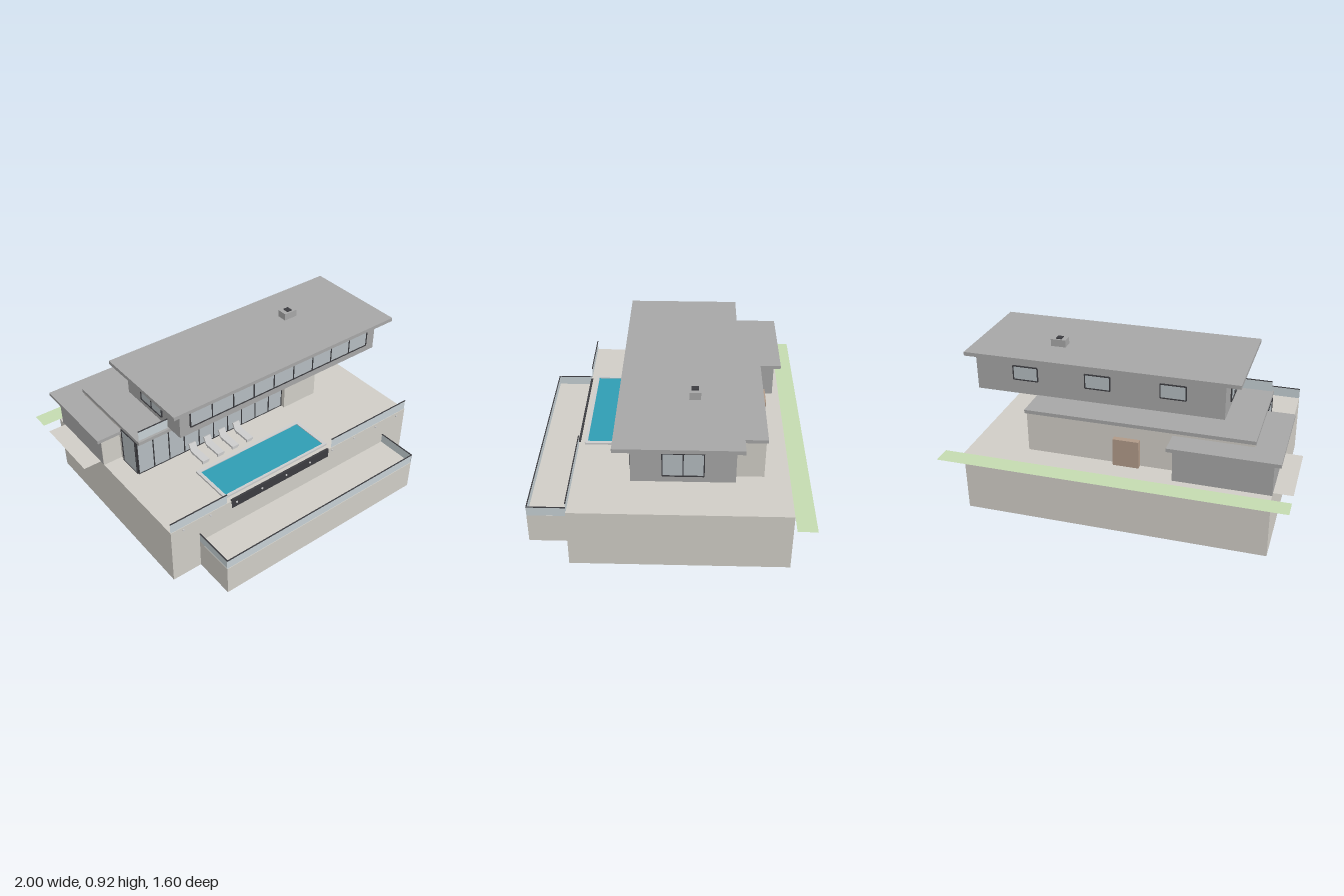
import * as THREE from 'three';

const mat = (color, double) => new THREE.MeshStandardMaterial({ color, side: double ? THREE.DoubleSide : THREE.FrontSide });
const stone = mat(0xd0cdc6), shell = mat(0xd0cdc6, true), grey = mat(0xa6a6a6), plain = mat(0xcccccc);
const dark = mat(0x3c3c40), glass = mat(0xc6d0d4, true), pane = mat(0xb4bcc0), water = mat(0x2f9db3);
const grass = mat(0xc4dab0, true), wood = mat(0xb09a88);

export function createModel() {
  const root = new THREE.Group();

  // box given by its limits on each axis
  const box = (name, x0, x1, y0, y1, z0, z1, m, parent = root) => {
    const mesh = new THREE.Mesh(new THREE.BoxGeometry(x1 - x0, y1 - y0, z1 - z0), m);
    mesh.position.set((x0 + x1) / 2, (y0 + y1) / 2, (z0 + z1) / 2);
    mesh.name = name;
    parent.add(mesh);
    return mesh;
  };

  // hollow box without its underside
  const openBox = (...args) => {
    const mesh = box(...args);
    const g = mesh.geometry, idx = Array.from(g.index.array);
    idx.splice(18, 6);
    g.setIndex(idx);
    g.clearGroups();
    return mesh;
  };

  // flat horizontal sheet
  const sheet = (name, x0, x1, z0, z1, y, m) => {
    const mesh = new THREE.Mesh(new THREE.PlaneGeometry(x1 - x0, z1 - z0).rotateX(-Math.PI / 2), m);
    mesh.position.set((x0 + x1) / 2, y, (z0 + z1) / 2);
    mesh.name = name;
    root.add(mesh);
  };

  // framed window of n panes, centred at x, y, z and turned about y
  const windowBand = (name, x, y, z, w, h, n, turn = 0) => {
    const g = new THREE.Group(), t = 0.006;
    g.name = name;
    box('panes', -w / 2, w / 2, -h / 2, h / 2, -0.004, 0.003, pane, g);
    for (const s of [-1, 1]) box('frameRail', -w / 2, w / 2, s * h / 2 - t / 2, s * h / 2 + t / 2, -0.004, 0.007, dark, g);
    for (let i = 0; i <= n; i++) {
      const px = -w / 2 + (w * i) / n;
      box('mullion', px - t / 2, px + t / 2, -h / 2, h / 2, -0.004, 0.007, dark, g);
    }
    g.position.set(x, y, z);
    g.rotation.y = turn;
    root.add(g);
  };

  // glass railing between two ground points, with a thin top rail
  const railing = (name, xa, za, xb, zb, y, h) => {
    const g = new THREE.Group(), len = Math.hypot(xb - xa, zb - za);
    g.name = name;
    const sheetMesh = new THREE.Mesh(new THREE.PlaneGeometry(len, h), glass);
    sheetMesh.position.y = h / 2;
    sheetMesh.name = 'railingGlass';
    g.add(sheetMesh);
    box('topRail', -len / 2, len / 2, h - 0.004, h, -0.003, 0.003, dark, g);
    g.position.set((xa + xb) / 2, y, (za + zb) / 2);
    g.rotation.y = -Math.atan2(zb - za, xb - xa);
    root.add(g);
  };

  // podium, lower terrace, lawn and side landing
  openBox('podium', -0.89, 0.885, 0, 0.365, -0.69, 0.545, shell);
  openBox('lowerTerrace', -0.705, 0.705, 0, 0.187, 0.545, 0.8, shell);
  sheet('lawnStrip', -1, 1, -0.8, -0.69, 0.365, grass);
  sheet('sideLanding', -1, -0.89, -0.62, -0.187, 0.366, shell);

  // railings
  railing('leftDeckRailing', -0.89, 0.542, -0.513, 0.542, 0.365, 0.066);
  railing('rightDeckRailing', 0.262, 0.542, 0.883, 0.542, 0.365, 0.066);
  railing('terraceFrontRailing', -0.705, 0.797, 0.705, 0.797, 0.187, 0.063);
  for (const s of [-1, 1]) railing('terraceSideRailing', s * 0.704, 0.545, s * 0.704, 0.8, 0.187, 0.063);
  railing('balconyRailing', -0.765, 0.065, -0.572, 0.065, 0.625, 0.066);

  // swimming pool with rim and front wall
  box('poolWater', -0.485, 0.237, 0.366, 0.372, 0.255, 0.492, water);
  for (const [x0, x1] of [[-0.505, -0.485], [0.237, 0.258]]) box('poolRimSide', x0, x1, 0.365, 0.377, 0.235, 0.508, plain);
  for (const [z0, z1] of [[0.235, 0.255], [0.492, 0.508]]) box('poolRimEnd', -0.485, 0.237, 0.365, 0.377, z0, z1, plain);
  box('poolFrontWall', -0.483, 0.237, 0.313, 0.372, 0.535, 0.548, dark);

  // fixing studs along the podium edge
  for (let i = 0; i < 10; i++) {
    const stud = new THREE.Mesh(new THREE.CylinderGeometry(0.006, 0.006, 0.008, 10).rotateX(Math.PI / 2), plain);
    stud.position.set(-0.81 + i * 0.18, 0.346, 0.549);
    stud.name = 'railingStud';
    root.add(stud);
  }

  // sun loungers
  for (let i = 0; i < 4; i++) {
    const g = new THREE.Group();
    g.name = 'sunLounger';
    box('seat', -0.023, 0.023, 0.012, 0.026, 0.085, 0.205, plain, g);
    for (const z of [0.092, 0.19]) box('foot', -0.02, 0.02, 0, 0.012, z, z + 0.01, plain, g);
    const back = box('backrest', -0.023, 0.023, 0.016, 0.066, 0.066, 0.078, plain, g);
    back.rotation.x = -0.45;
    g.position.set(-0.412 + i * 0.108, 0.366, 0);
    root.add(g);
  }

  // ground floor
  box('groundFloor', -0.77, 0.54, 0.365, 0.606, -0.545, 0.034, stone);
  box('frontWallPanel', 0.29, 0.54, 0.365, 0.606, 0.034, 0.07, stone);
  box('groundRoof', -0.775, 0.55, 0.605, 0.626, -0.555, 0.08, grey);
  windowBand('groundFrontGlazing', -0.24, 0.483, 0.038, 1.058, 0.235, 10);
  windowBand('groundRightGlazing', 0.541, 0.483, -0.113, 0.305, 0.235, 2, Math.PI / 2);
  windowBand('groundLeftGlazing', -0.771, 0.483, -0.04, 0.145, 0.235, 1, -Math.PI / 2);
  box('backDoor', -0.13, 0.02, 0.365, 0.53, -0.578, -0.545, wood);

  // low rear wing
  box('wing', -0.89, -0.34, 0.365, 0.567, -0.648, -0.152, grey);
  box('wingFrontFace', -0.892, -0.77, 0.365, 0.566, -0.152, -0.148, stone);
  box('wingRoof', -0.93, -0.315, 0.566, 0.587, -0.69, -0.113, grey);

  // upper floor
  box('upperFloor', -0.567, 0.923, 0.624, 0.847, -0.36, 0.184, grey);
  box('upperRoof', -0.656, 0.98, 0.843, 0.866, -0.4, 0.27, grey);
  windowBand('upperFrontGlazing', 0.177, 0.738, 0.185, 1.35, 0.13, 9);
  windowBand('upperRightWindow', 0.924, 0.735, -0.088, 0.215, 0.14, 2, Math.PI / 2);
  windowBand('upperLeftWindow', -0.568, 0.735, -0.1, 0.215, 0.14, 2, -Math.PI / 2);
  for (const x of [-0.27, 0.175, 0.615]) windowBand('upperBackWindow', x, 0.757, -0.361, 0.15, 0.085, 1, Math.PI);

  // chimney
  box('chimney', 0.432, 0.523, 0.86, 0.91, -0.177, -0.113, grey);
  box('chimneyCap', 0.46, 0.495, 0.91, 0.915, -0.165, -0.125, dark);

  return root;
}
